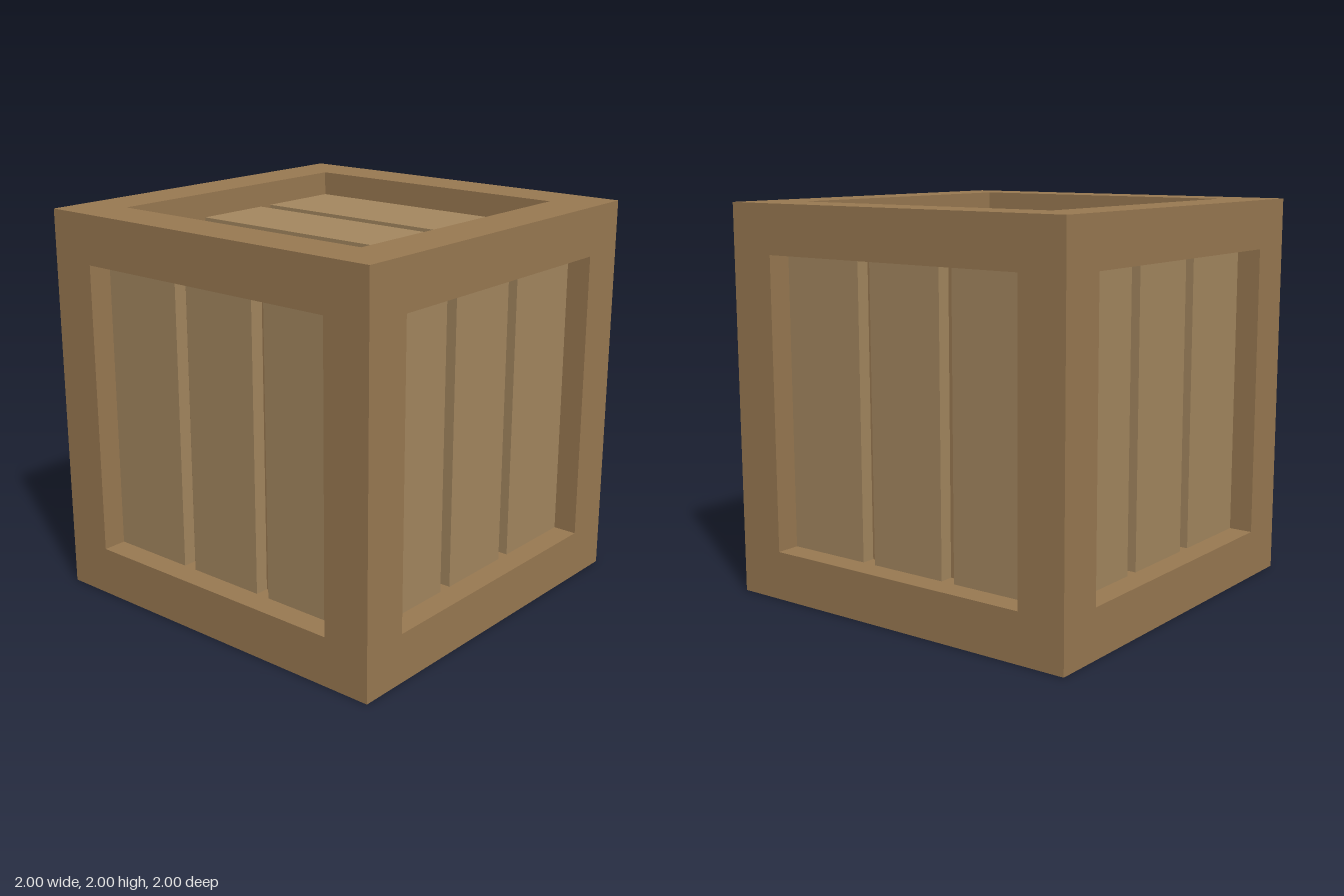
import * as THREE from 'three';

const FRAME = 0.25;   // width of the square beams
const RECESS = 0.125; // plank surface below the beam surface
const GROOVE = 0.07;  // plank thickness, depth of the gaps
const INNER = 2 - 2 * FRAME;

export function createModel() {
  const crate = new THREE.Group();
  crate.name = 'crate';
  const beamMat = new THREE.MeshStandardMaterial({ color: 0x9a7a52 });
  const plankMat = new THREE.MeshStandardMaterial({ color: 0xa58860 });

  const box = (name, parent, mat, size, pos) => {
    const mesh = new THREE.Mesh(new THREE.BoxGeometry(...size), mat);
    mesh.name = name;
    mesh.position.set(...pos);
    parent.add(mesh);
    return mesh;
  };

  // Twelve edge beams: full-height posts, rails fitted between them
  const frame = new THREE.Group();
  frame.name = 'frame';
  const c = 1 - FRAME / 2;
  for (const a of [-c, c]) {
    for (const b of [-c, c]) {
      box('cornerPost', frame, beamMat, [FRAME, 2, FRAME], [a, 0, b]);
      box('crossRail', frame, beamMat, [INNER, FRAME, FRAME], [0, a, b]);
      box('sideRail', frame, beamMat, [FRAME, FRAME, INNER], [a, b, 0]);
    }
  }
  crate.add(frame);

  // Inner box that closes the gaps between planks
  const depth = 1 - RECESS - GROOVE;
  box('core', crate, beamMat, [2 * depth, 2 * depth, 2 * depth], [0, 0, 0]);

  // Three planks per side, as [left edge, right edge]
  const planks = [[-0.75, -0.287], [-0.212, 0.212], [0.287, 0.75]];
  const sides = {
    frontPanel: [0, 0], leftPanel: [0, Math.PI / 2],
    backPanel: [0, Math.PI], rightPanel: [0, -Math.PI / 2],
    topPanel: [-Math.PI / 2, 0], bottomPanel: [Math.PI / 2, 0],
  };
  for (const [name, [rx, ry]] of Object.entries(sides)) {
    const panel = new THREE.Group();
    panel.name = name;
    panel.rotation.set(rx, ry, 0);
    for (const [x0, x1] of planks) {
      box('plank', panel, plankMat, [x1 - x0, INNER, GROOVE],
        [(x0 + x1) / 2, 0, depth + GROOVE / 2]);
    }
    crate.add(panel);
  }

  // Stand the crate on the ground
  crate.children.forEach((part) => { part.position.y += 1; });
  return crate;
}
